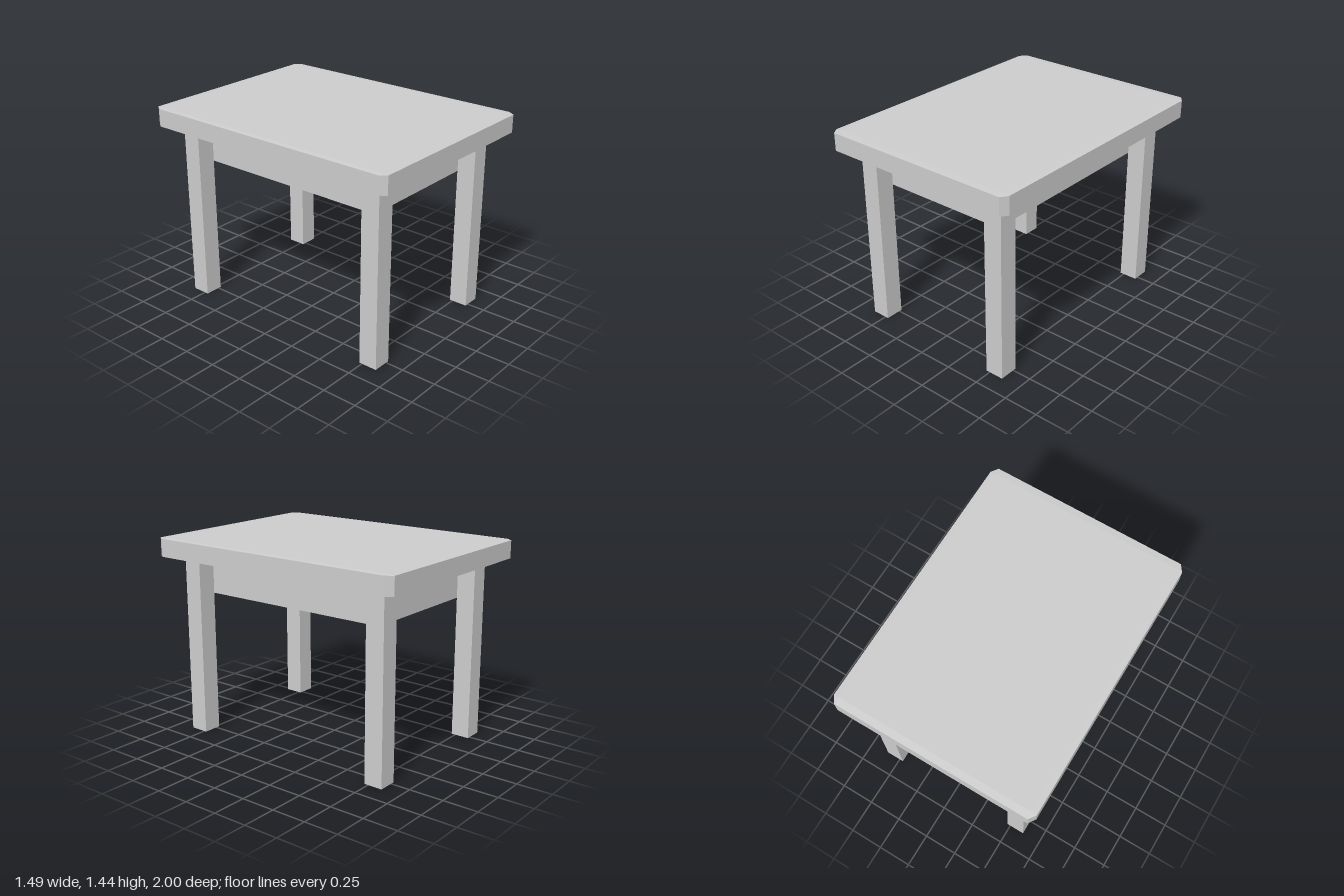
import * as THREE from 'three';
import { ConvexGeometry } from 'three/addons/geometries/ConvexGeometry.js';

const material = new THREE.MeshStandardMaterial({ color: 0xcccccc, flatShading: true });
const SIGNS = [-1, 1];

// Adds a named box spanning y0..y1, centred on (x, z).
function addBox(parent, name, width, depth, y0, y1, x = 0, z = 0) {
  const mesh = new THREE.Mesh(new THREE.BoxGeometry(width, y1 - y0, depth), material);
  mesh.name = name;
  mesh.position.set(x, (y0 + y1) / 2, z);
  parent.add(mesh);
}

// Slab with chamfered corners and very shallow bevels on its upper and lower rims.
function chamferedSlab(halfX, halfZ, y0, y1, cutX, cutZ, cutY) {
  const points = [];
  const halfY = (y1 - y0) / 2, midY = (y0 + y1) / 2;
  for (const sx of SIGNS) for (const sy of SIGNS) for (const sz of SIGNS) {
    const add = (x, y, z) => points.push(new THREE.Vector3(sx * x, midY + sy * y, sz * z));
    add(halfX - cutX, halfY, halfZ - cutZ);
    add(halfX, halfY - cutY, halfZ - cutZ);
    add(halfX - cutX, halfY - cutY, halfZ);
  }
  return new ConvexGeometry(points);
}

export function createModel() {
  const table = new THREE.Group();
  table.name = 'table';

  // Table top
  const top = new THREE.Mesh(chamferedSlab(0.747, 1, 1.305, 1.441, 0.036, 0.05, 0.004), material);
  top.name = 'tableTop';
  table.add(top);

  // Base, set very slightly off centre under the top
  const base = new THREE.Group();
  base.name = 'base';
  base.position.set(-0.002, 0, 0.004);
  table.add(base);

  // Solid apron whose corners meet the inner corners of the legs
  addBox(base, 'apron', 0.947, 1.452, 1.03, 1.306);

  // Four square legs
  for (const sx of SIGNS) for (const sz of SIGNS) {
    const name = (sz > 0 ? 'front' : 'back') + (sx > 0 ? 'Left' : 'Right') + 'Leg';
    addBox(base, name, 0.136, 0.136, 0, 1.306, sx * 0.542, sz * 0.793);
  }

  return table;
}
